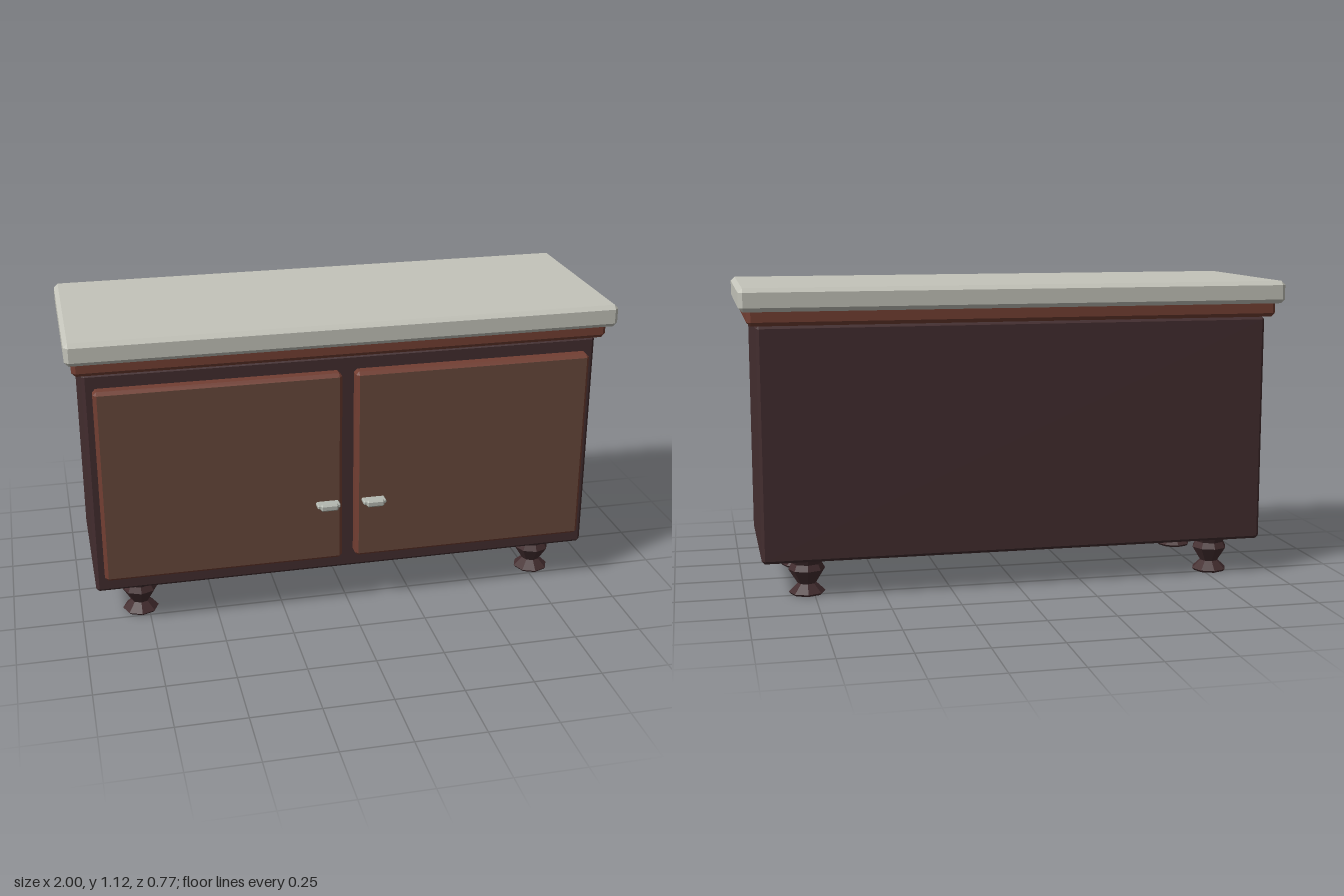
import * as THREE from 'three';
import { ConvexGeometry } from 'three/addons/geometries/ConvexGeometry.js';

const mat = (name, color) => new THREE.MeshStandardMaterial({ name, color });

// Box between two corners with every edge cut by a flat chamfer
function chamferBox(min, max, c) {
  const pts = [];
  for (let i = 0; i < 8; i++) {
    const s = [i & 1, (i >> 1) & 1, (i >> 2) & 1];
    const inset = s.map((k, a) => (k ? max[a] - c : min[a] + c));
    for (let a = 0; a < 3; a++) {
      const p = [...inset];
      p[a] = s[a] ? max[a] : min[a];
      pts.push(new THREE.Vector3(...p));
    }
  }
  return new ConvexGeometry(pts);
}

export function createModel() {
  const group = new THREE.Group();
  group.name = 'sideboard';
  const darkWood = mat('dark wood', 0x432d2f);
  const redWood = mat('red wood', 0x733f33);
  const panelWood = mat('panel brown', 0x68493b);
  const stone = mat('pale stone', 0xc4c4ba);
  const metal = mat('handle metal', 0xb4b8b0);

  const add = (name, geo, material, x = 0, y = 0, z = 0) => {
    const m = new THREE.Mesh(geo, material);
    m.name = name;
    m.position.set(x, y, z);
    group.add(m);
  };

  // Carcass, moulding and worktop
  add('body', chamferBox([-0.945, 0.137, -0.322], [0.94, 0.99, 0.287], 0.011), darkWood);
  add('moulding', chamferBox([-0.977, 0.99, -0.348], [0.972, 1.055, 0.313], 0.014), redWood);
  add('worktop', chamferBox([-1, 1.042, -0.385], [1, 1.125, 0.351], 0.015), stone);

  // Doors with a brown face panel
  for (const [side, x0, x1] of [['right', -0.912, -0.03], ['left', 0.02, 0.905]]) {
    add(side + 'Door', chamferBox([x0, 0.202, 0.28], [x1, 0.938, 0.337], 0.012), redWood);
    add(side + 'DoorPanel', new THREE.BoxGeometry(x1 - x0 - 0.024, 0.712, 0.003),
      panelWood, (x0 + x1) / 2, 0.57, 0.3365);
  }

  // Pulls: a flat bracket carrying a thicker grip
  for (const [side, x] of [['right', -0.088], ['left', 0.085]]) {
    add(side + 'PullBracket', chamferBox([-0.043, -0.008, -0.035], [0.043, 0.008, 0.018], 0.004),
      metal, x, 0.437, 0.355);
    add(side + 'PullGrip', chamferBox([-0.033, -0.013, -0.01], [0.033, 0.013, 0.01], 0.006),
      metal, x, 0.437, 0.377);
  }

  // Turned feet, faceted
  const profile = [[0, 0], [0.06, 0], [0.067, 0.008], [0.034, 0.04], [0.067, 0.093],
    [0.055, 0.115], [0.067, 0.138], [0, 0.138]].map(p => new THREE.Vector2(...p));
  const foot = new THREE.LatheGeometry(profile, 8).toNonIndexed();
  foot.computeVertexNormals();
  for (const [sx, x] of [['right', -0.78], ['left', 0.775]])
    for (const [sz, z] of [['Front', 0.19], ['Back', -0.225]])
      add(sx + sz + 'Foot', foot, darkWood, x, 0, z);

  return group;
}
